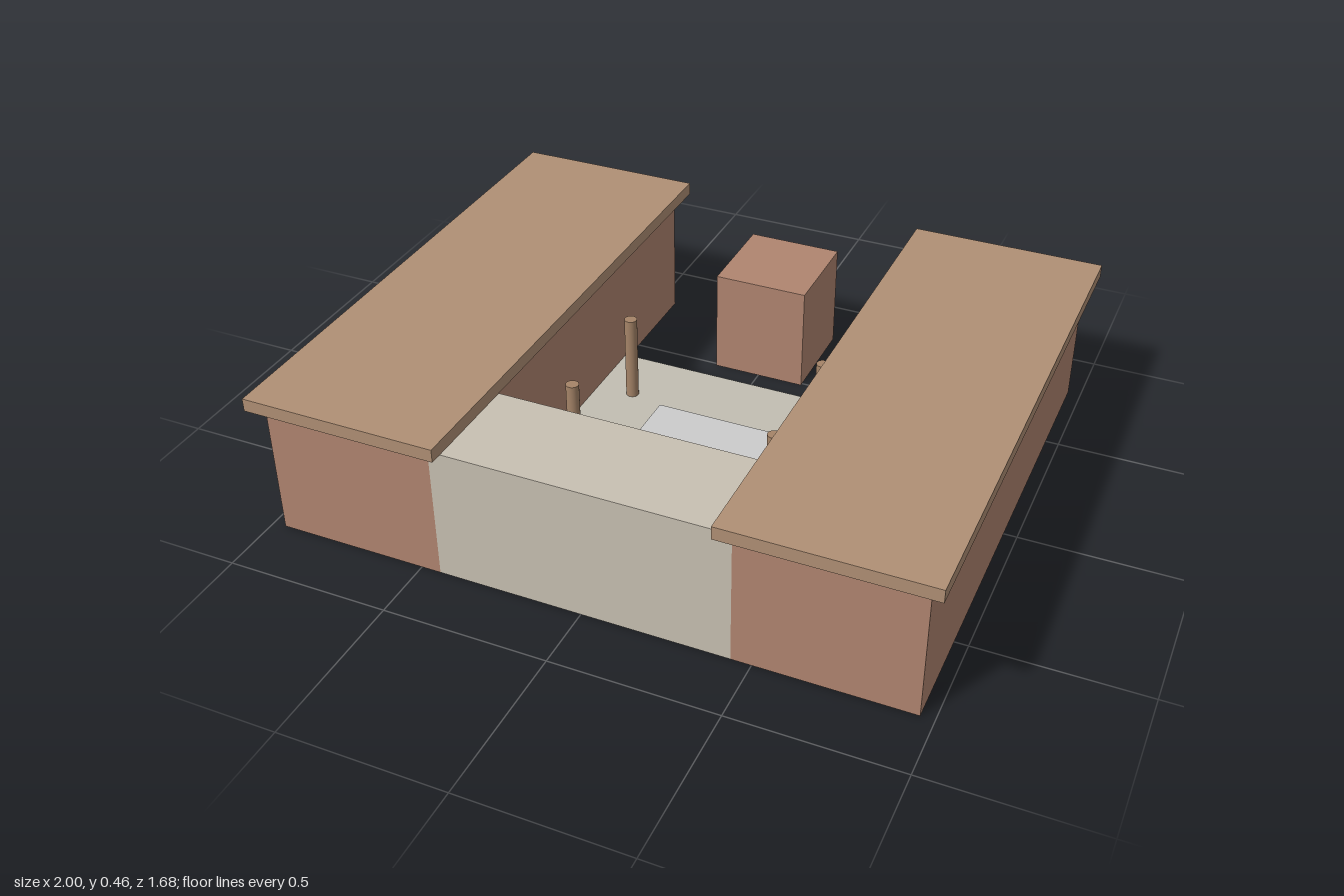
import * as THREE from 'three';

const mat = (color) => new THREE.MeshStandardMaterial({ color });

export function createModel() {
  const model = new THREE.Group();
  model.name = 'courtyardCompound';

  const brick = mat(0xb08570);
  const roof = mat(0xb09075);
  const stone = mat(0xc8c0b2);
  const paving = mat(0xc2beb2);
  const pale = mat(0xcccccc);
  const timber = mat(0xa58468);

  // Box given by its width, its depth and the heights of its bottom and top
  const block = (name, material, w, d, y0, y1, x, z) => {
    const mesh = new THREE.Mesh(new THREE.BoxGeometry(w, y1 - y0, d), material);
    mesh.position.set(x, (y0 + y1) / 2, z);
    mesh.name = name;
    model.add(mesh);
  };

  // Long side wings with overhanging flat roofs
  for (const [side, s] of [['left', 1], ['right', -1]]) {
    block(`${side}Wing`, brick, 0.52, 1.6, 0, 0.42, s * 0.7, 0);
    block(`${side}Roof`, roof, 0.6, 1.68, 0.42, 0.46, s * 0.7, 0);
  }

  // Front wing joining the two sides, and the small block at the back
  block('frontWing', stone, 0.88, 0.32, 0, 0.418, 0, 0.64);
  block('backBlock', brick, 0.3, 0.31, 0, 0.34, 0, -0.645);

  // Courtyard paving with a raised slab in the middle
  block('courtyard', paving, 0.88, 0.8, 0, 0.02, 0, 0);
  block('centreSlab', pale, 0.4, 0.3, 0, 0.04, 0, 0);

  // Four round posts
  const postGeometry = new THREE.CylinderGeometry(0.02, 0.02, 0.3, 24);
  for (const x of [-0.32, 0.32]) {
    for (const z of [-0.2, 0.2]) {
      const post = new THREE.Mesh(postGeometry, timber);
      post.position.set(x, 0.15, z);
      post.name = 'post';
      model.add(post);
    }
  }

  return model;
}
